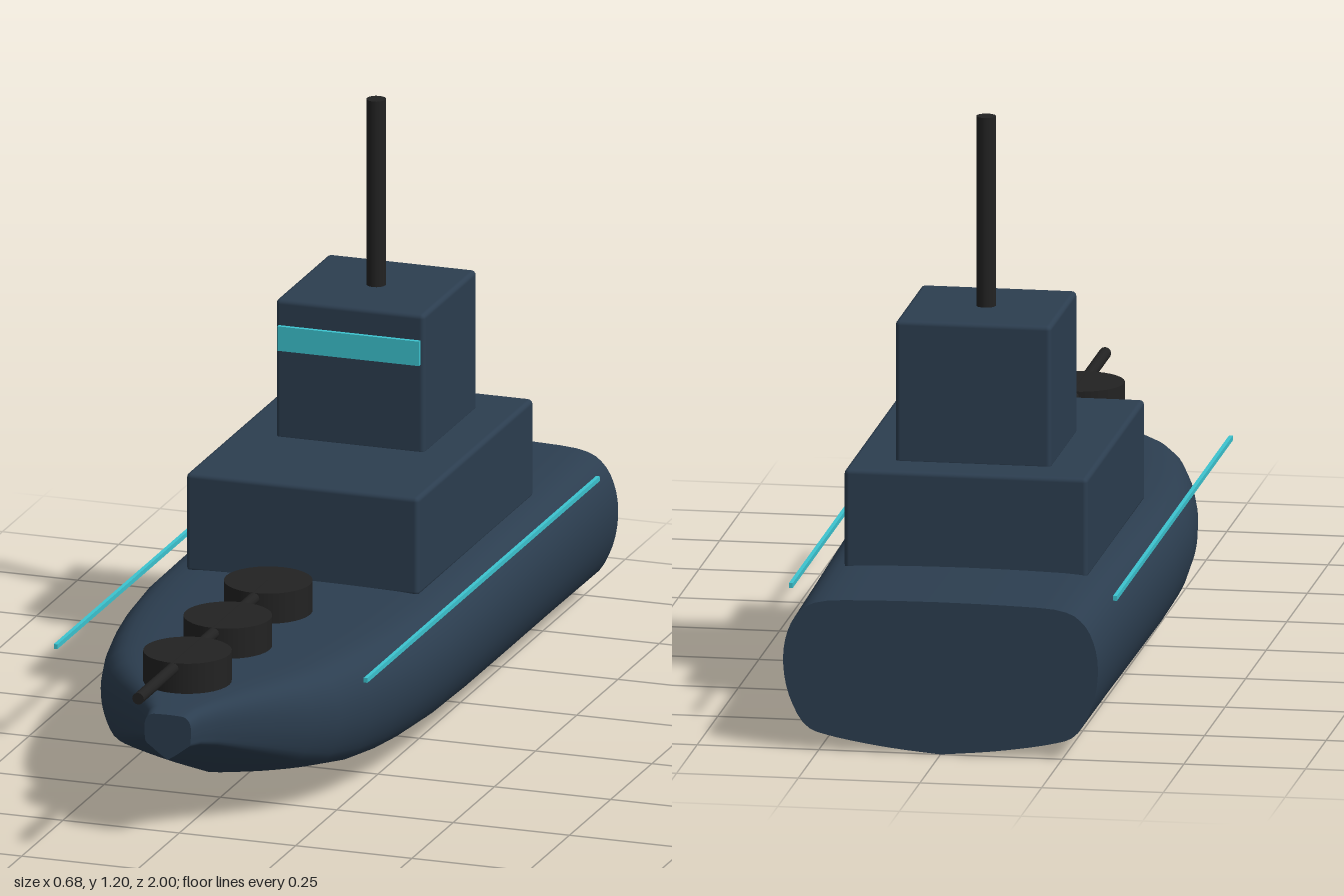
import * as THREE from 'three';
import { RoundedBoxGeometry } from 'three/addons/geometries/RoundedBoxGeometry.js';

const paint = (name, color) => {
  const m = new THREE.MeshStandardMaterial({ color });
  m.name = name;
  return m;
};

// Hull stations: z, half width, deck height, keel height, blend towards the bow section
const STATIONS = [
  [-1, 0.323, 0.32, 0.003, 0], [-0.7, 0.328, 0.32, 0.01, 0], [-0.4, 0.334, 0.319, 0.016, 0],
  [-0.15, 0.339, 0.317, 0.022, 0], [0.05, 0.338, 0.315, 0.027, 0], [0.2, 0.325, 0.312, 0.03, 0.02],
  [0.3, 0.309, 0.31, 0.033, 0.05], [0.4, 0.287, 0.308, 0.04, 0.1], [0.5, 0.257, 0.305, 0.056, 0.2],
  [0.57, 0.222, 0.302, 0.078, 0.32], [0.63, 0.178, 0.297, 0.104, 0.48], [0.69, 0.126, 0.29, 0.132, 0.65],
  [0.74, 0.085, 0.284, 0.156, 0.82], [0.78, 0.06, 0.28, 0.17, 0.93], [0.82, 0.05, 0.276, 0.18, 1],
];

// Half sections from keel to deck centre, as fractions of half width and depth
const section = (pts) => new THREE.SplineCurve(pts.map(([x, y]) => new THREE.Vector2(x, y))).getPoints(32);
const MIDSHIP = section([[0, 0], [0.35, 0.035], [0.7, 0.095], [0.86, 0.16], [0.96, 0.34],
  [1, 0.54], [0.985, 0.73], [0.91, 0.89], [0.76, 0.975], [0.4, 0.995], [0, 1]]);
const BOW = section([[0, 0], [0.35, 0.12], [0.7, 0.26], [0.94, 0.36], [0.98, 0.47],
  [1, 0.6], [0.99, 0.77], [0.9, 0.9], [0.7, 0.98], [0.4, 0.995], [0, 1]]);

function hullRing([z, w, top, keel, t]) {
  const half = MIDSHIP.map((p, i) => {
    const q = p.clone().lerp(BOW[i], t);
    return [q.x * w, keel + q.y * (top - keel), z];
  });
  const mirrored = half.slice(0, -1).reverse().map(([x, y, d]) => [-x, y, d]);
  return [...half, ...mirrored];
}

function hullGeometry() {
  const rings = STATIONS.map(hullRing);
  const n = rings[0].length;
  const pos = rings.flat(2);
  const index = [];
  for (let i = 0; i < rings.length - 1; i++) {
    for (let j = 0; j < n - 1; j++) {
      const a = i * n + j, b = a + 1, c = a + n, d = c + 1;
      index.push(a, b, c, b, d, c);
    }
  }
  // Flat transom and bow face with their own vertices, for sharp edges
  [rings[0], rings[rings.length - 1]].forEach((ring, end) => {
    const start = pos.length / 3;
    const midY = (ring[0][1] + ring[(n - 1) / 2][1]) / 2;
    pos.push(0, midY, ring[0][2], ...ring.flat());
    for (let j = 1; j < n; j++) {
      if (end) index.push(start, start + j, start + j + 1);
      else index.push(start, start + j + 1, start + j);
    }
  });
  const g = new THREE.BufferGeometry();
  g.setAttribute('position', new THREE.Float32BufferAttribute(pos, 3));
  g.setIndex(index);
  g.computeVertexNormals();
  return g;
}

export function createModel() {
  const model = new THREE.Group();
  model.name = 'warship';
  const steel = paint('blue grey steel', 0x2c3e50);
  const black = paint('gun black', 0x222222);
  const glow = paint('turquoise', 0x3cc4d0);

  const add = (name, geometry, material, x, y, z, parent = model) => {
    const mesh = new THREE.Mesh(geometry, material);
    mesh.name = name;
    mesh.position.set(x, y, z);
    parent.add(mesh);
    return mesh;
  };

  add('hull', hullGeometry(), steel, 0, 0, 0);

  // Superstructure
  add('deckHouse', new RoundedBoxGeometry(0.5, 0.21, 0.7, 2, 0.01), steel, 0, 0.41, -0.345);
  add('bridge', new RoundedBoxGeometry(0.32, 0.3, 0.32, 2, 0.01), steel, 0, 0.657, -0.445);
  add('bridgeWindow', new THREE.BoxGeometry(0.304, 0.052, 0.009), glow, 0, 0.727, -0.279);
  add('mast', new THREE.CylinderGeometry(0.02, 0.02, 0.4, 16), black, 0, 1.002, -0.445);

  // Row of gun turrets on the foredeck
  for (const z of [0.21, 0.455, 0.7]) {
    const gun = new THREE.Group();
    gun.name = 'gunTurret';
    gun.position.set(0, 0.345, z);
    model.add(gun);
    add('turretDrum', new THREE.CylinderGeometry(0.09, 0.09, 0.064, 32), black, 0, 0, 0, gun);
    add('gunBarrel', new THREE.CylinderGeometry(0.0125, 0.0125, 0.3, 12), black, 0, 0.02, 0.15, gun)
      .rotation.x = Math.PI / 2;
  }

  // Light strips along both sides
  for (const side of [1, -1]) {
    add(side > 0 ? 'leftLightStrip' : 'rightLightStrip',
      new THREE.BoxGeometry(0.008, 0.01, 1.41), glow, side * 0.333, 0.306, -0.145);
  }
  return model;
}
